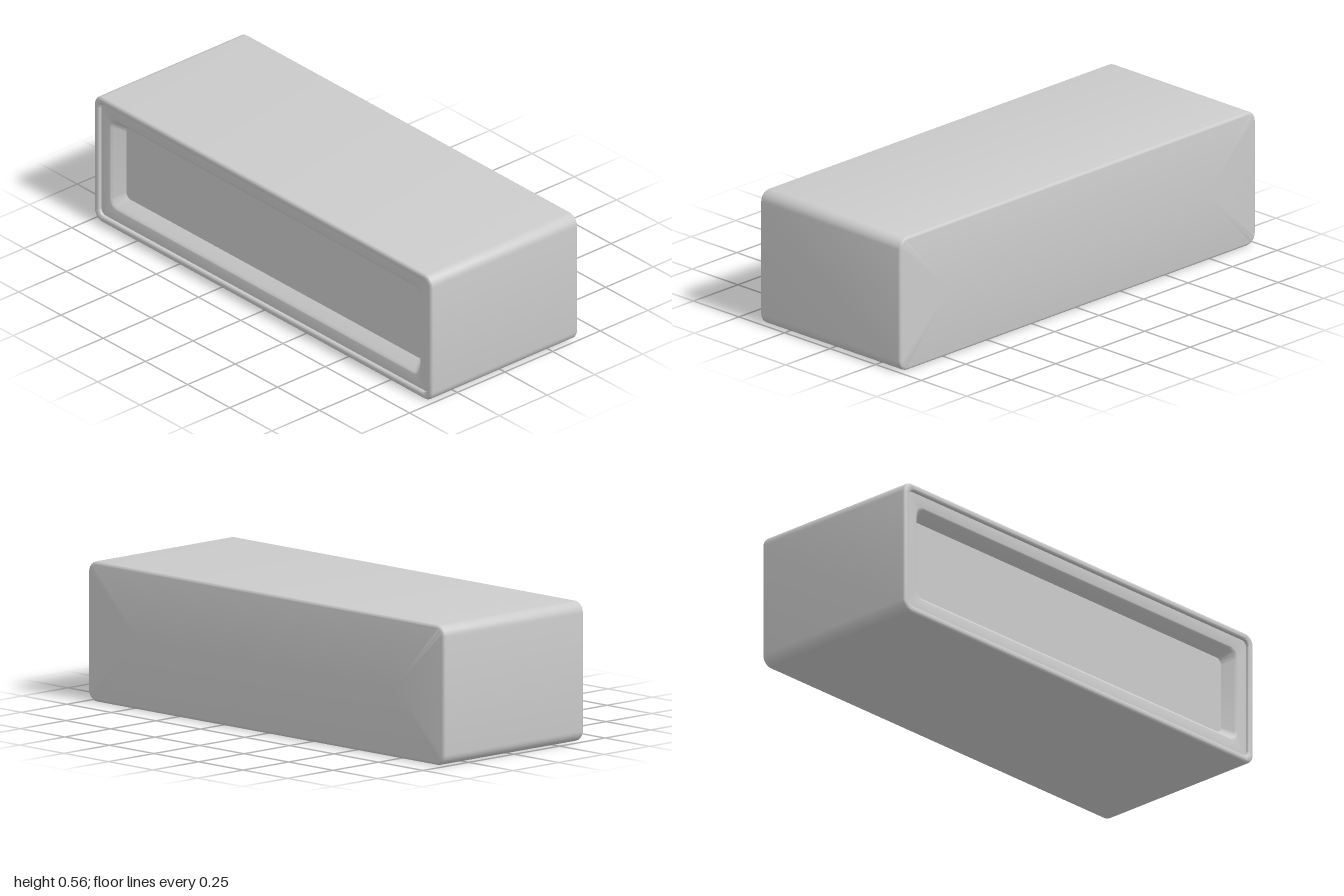
import * as THREE from 'three';
import { toCreasedNormals } from 'three/addons/utils/BufferGeometryUtils.js';

const W = 1, H = 0.28, D = 0.385; // half sizes of the casing
const CORNER_STEPS = 6;

// Rounded rectangle, counter-clockwise from the front, moved inwards by inset
function ring(inset, radius, z) {
  const points = [];
  const w = W - inset - radius, h = H - inset - radius;
  [[1, 1], [-1, 1], [-1, -1], [1, -1]].forEach(([sx, sy], corner) => {
    for (let i = 0; i <= CORNER_STEPS; i++) {
      const a = (corner + i / CORNER_STEPS) * Math.PI / 2;
      points.push([sx * w + radius * Math.cos(a), H + sy * h + radius * Math.sin(a), z]);
    }
  });
  return points;
}

// Skin a list of [inset, corner radius, z] steps
function skin(steps) {
  const rings = steps.map((s) => ring(...s));
  const n = rings[0].length;
  const index = [];
  for (let r = 0; r < rings.length - 1; r++) {
    for (let i = 0; i < n; i++) {
      const j = (i + 1) % n;
      const a = r * n + i, b = r * n + j, c = a + n, d = b + n;
      index.push(a, b, d, a, d, c);
    }
  }
  const geometry = new THREE.BufferGeometry();
  geometry.setAttribute('position', new THREE.Float32BufferAttribute(rings.flat(2), 3));
  geometry.setIndex(index);
  return toCreasedNormals(geometry, 0.6);
}

// Quarter-round steps, from angle a0 to a1, on a given centre inset and z
function round(inset, z, r, a0, a1, radius) {
  return Array.from({ length: 5 }, (_, i) => {
    const a = a0 + (a1 - a0) * i / 4;
    const x = inset - r * Math.cos(a);
    return [x, Math.max(radius - x, 0.015), z + r * Math.sin(a)];
  });
}

export function createModel() {
  const group = new THREE.Group();
  const material = new THREE.MeshStandardMaterial({ color: 0xcccccc });
  const add = (name, steps) => {
    const mesh = new THREE.Mesh(skin(steps), material);
    mesh.name = name;
    group.add(mesh);
  };
  const Q = Math.PI / 2, b = 0.012, R = 0.045;

  // Casing: closed back, rounded edges and a raised lip round the front
  add('casing', [
    [H, 0, -D],
    ...round(b, -D + b, b, -Q, 0, R),
    ...round(b, D - b, b, 0, Q, R),
    ...round(0.02, D - 0.01, 0.01, Q, 2 * Q, R + 0.01),
    [0.03, 0.025, D - 0.02],
  ]);

  // Bezel: flat border with a soft edge sloping down into the recess
  add('bezel', [
    [0.03, 0.025, D - 0.014],
    [0.078, 0.04, D - 0.014],
    [0.084, 0.038, D - 0.016],
    [0.089, 0.036, D - 0.022],
    [0.12, 0.025, D - 0.065],
  ]);

  // Panel: flat floor of the recess
  add('frontPanel', [
    [0.12, 0.025, D - 0.065],
    [H, 0, D - 0.065],
  ]);

  return group;
}
